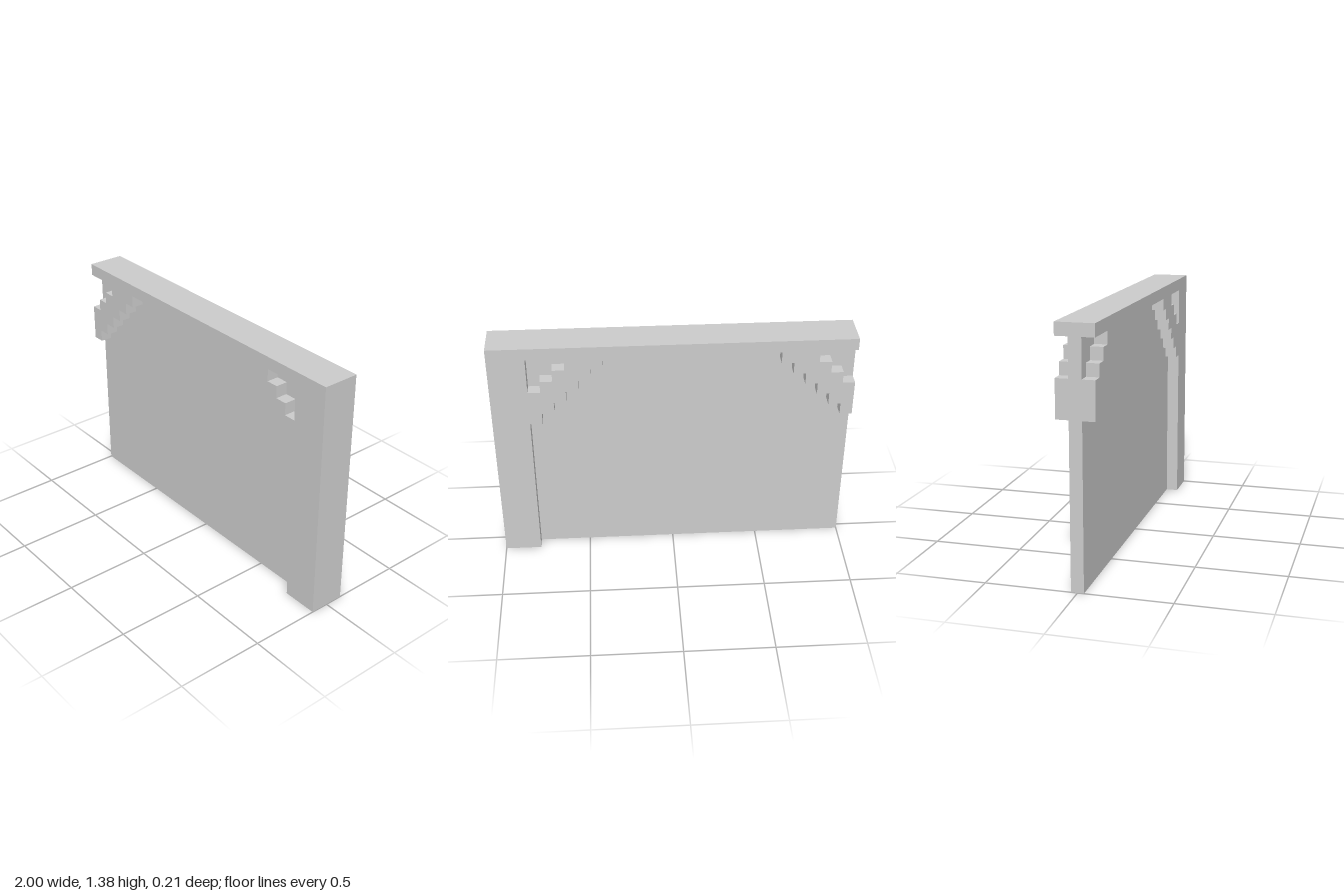
import * as THREE from 'three';

const U = 2 / 29; // one block unit: the wall is 29 wide, 20 high, 3 deep
const BAY = 26; // width of the bay beside the post

// Steps climbing to the right from (0, y), one unit at a time
function stairs(y, count) {
  const points = [];
  for (let i = 0; i < count; i++) points.push([i, y + i], [i + 1, y + i]);
  points.push([count, y + count]);
  return points;
}

// Mirror within the bay, reversed so the outline keeps running on
const mirror = (points) => points.map(([x, y]) => [BAY - x, y]).reverse();

const toVectors = (points) =>
  points.map(([x, y]) => new THREE.Vector2((x - 14.5) * U, y * U));

function slab(name, shape, depth, material) {
  const geometry = new THREE.ExtrudeGeometry(shape, { depth: depth * U, bevelEnabled: false });
  geometry.translate(0, 0, (-depth * U) / 2);
  const mesh = new THREE.Mesh(geometry, material);
  mesh.name = name;
  return mesh;
}

export function createModel() {
  const group = new THREE.Group();
  group.name = 'wallSection';
  const material = new THREE.MeshStandardMaterial({ color: 0xcccccc, flatShading: true });

  const underside = stairs(13, 6); // lower edge of a corner brace
  const upperSide = stairs(16, 3); // upper edge of a corner brace
  const cornerWindow = [...upperSide, [0, 19]];

  // Post, top beam and both stepped braces in one outline
  const frame = new THREE.Shape(toVectors([
    [29, 0], [29, 20], [0, 20], [0, 19],
    ...[...upperSide].reverse(),
    ...underside, ...mirror(underside),
    [BAY, 0],
  ]));
  frame.holes.push(new THREE.Path(toVectors(mirror(cornerWindow))));
  group.add(slab('frame', frame, 3, material));

  // Thin recessed panel filling the bay and the gaps above the braces
  const panel = [[0, 0], ...underside, ...mirror(underside), [BAY, 0]];
  group.add(slab('panel', new THREE.Shape(toVectors(panel)), 1, material));
  group.add(slab('leftEndPanel', new THREE.Shape(toVectors(cornerWindow)), 1, material));
  group.add(slab('postCornerPanel', new THREE.Shape(toVectors(mirror(cornerWindow))), 1, material));

  return group;
}
